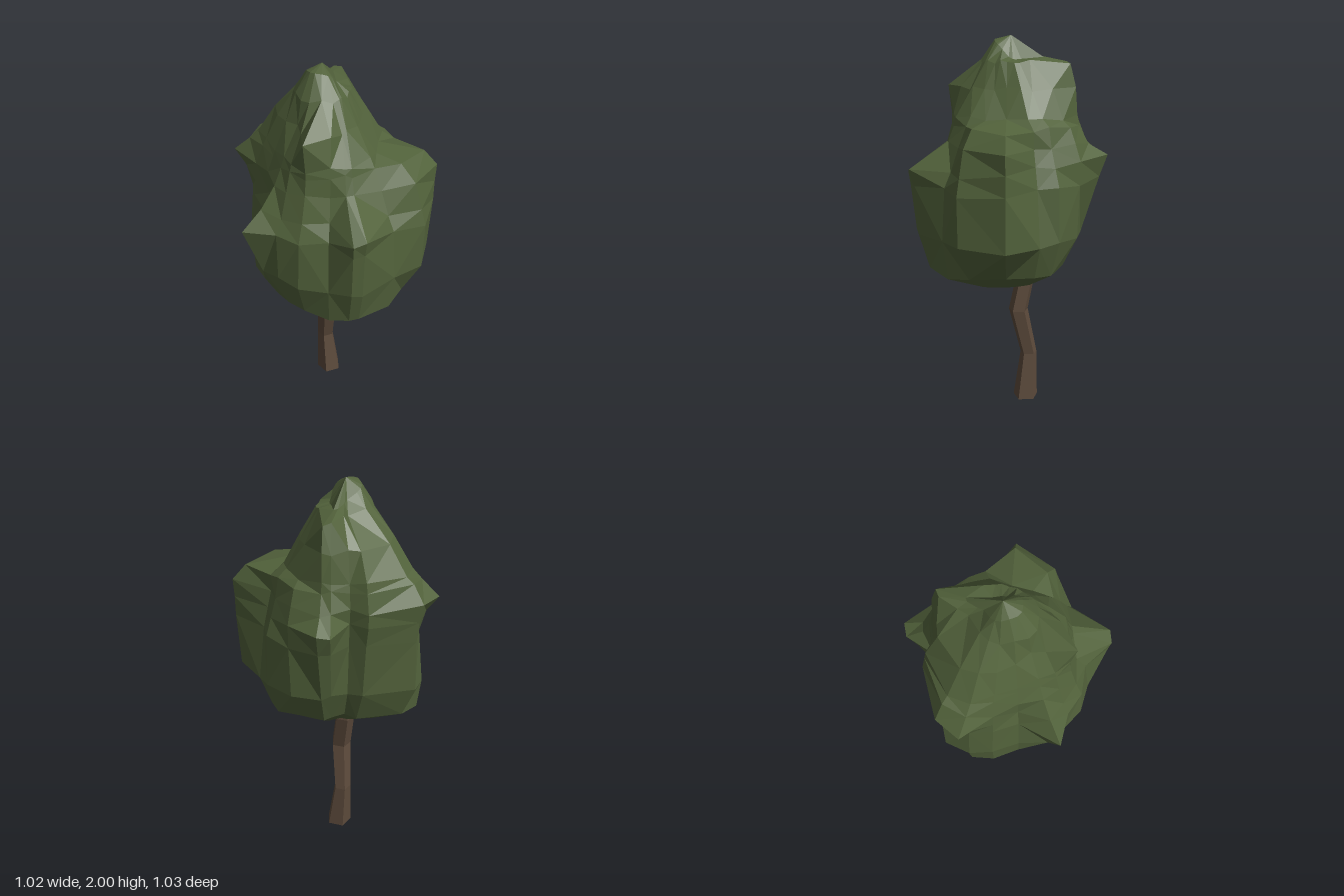
import * as THREE from 'three';

// Skin closed rings (bottom to top) with flat facets, splitting each quad along its shorter diagonal
function loft(rings, bottom, top) {
  const pos = [];
  const tri = (...pts) => pts.forEach((p) => pos.push(p.x, p.y, p.z));
  const n = rings[0].length;
  for (let k = 0; k < n; k++) {
    const m = (k + 1) % n;
    tri(bottom, rings[0][k], rings[0][m]);
    for (let i = 0; i < rings.length - 1; i++) {
      const a = rings[i][k], b = rings[i][m], c = rings[i + 1][k], d = rings[i + 1][m];
      if (a.distanceTo(d) < b.distanceTo(c)) { tri(a, c, d); tri(a, d, b); }
      else { tri(a, c, b); tri(b, c, d); }
    }
    const last = rings[rings.length - 1];
    tri(last[k], top, last[m]);
  }
  const geo = new THREE.BufferGeometry();
  geo.setAttribute('position', new THREE.Float32BufferAttribute(pos, 3));
  geo.computeVertexNormals();
  return geo;
}

// Point at an angle (from +x towards +z) around a centre
function polar(deg, r, y, cx = 0, cz = 0) {
  const a = THREE.MathUtils.degToRad(deg);
  return new THREE.Vector3(cx + r * Math.cos(a), y, cz + r * Math.sin(a));
}

// Directions of the ridges and hollows around the crown
const ANGLES = [2, 30, 50, 77, 84, 98, 118, 135, 150, 170, 188, 202, 217, 248, 258, 272, 279, 301, 323, 338];

// Crown cross-sections: height, slope towards the front, then the radius in each direction
const LOWER = [
  { y: 0.82, tilt: 0.04, r: [.33, .39, .40, .42, .42, .40, .38, .36, .36, .39, .44, .47, .44, .31, .27, .29, .31, .33, .36, .35] },
  { y: 1.00, tilt: 0, r: [.49, .49, .43, .47, .48, .43, .44, .43, .44, .40, .45, .49, .51, .38, .33, .37, .39, .41, .42, .41] },
  { y: 1.27, tilt: 0.03, r: [.505, .495, .41, .49, .505, .39, .42, .43, .54, .37, .42, .46, .50, .41, .35, .45, .48, .42, .41, .375] },
  { y: 1.365, tilt: 0.07, r: [.505, .47, .37, .515, .515, .34, .38, .39, .43, .34, .41, .49, .51, .43, .36, .50, .52, .42, .38, .35] },
];
const UPPER = [
  { y: 1.47, tilt: 0, r: [.51, .43, .32, .31, .31, .30, .34, .35, .35, .34, .40, .55, .53, .43, .37, .41, .42, .39, .35, .33] },
  { y: 1.56, tilt: 0, r: [.44, .35, .27, .28, .28, .29, .33, .32, .31, .31, .36, .46, .47, .41, .36, .37, .37, .36, .33, .33] },
  { y: 1.60, tilt: 0, r: [.21, .22, .24, .27, .27, .28, .33, .31, .29, .30, .34, .41, .43, .40, .35, .36, .36, .32, .28, .26] },
  { y: 1.74, tilt: 0, r: [.13, .13, .15, .18, .19, .24, .35, .24, .21, .24, .28, .31, .33, .33, .32, .34, .35, .26, .20, .17] },
  { y: 1.87, tilt: 0, r: [.07, .07, .08, .10, .11, .13, .15, .18, .19, .19, .20, .20, .19, .18, .22, .30, .32, .13, .10, .09] },
];

function crownGeometry() {
  const apex = new THREE.Vector3(-0.06, 2.0, -0.02);
  const base = new THREE.Vector3(-0.02, 0.675, 0.03);
  // Slight uneven heights keep the facets irregular
  const wobble = (i, k) => 0.01 * Math.sin(i * 4.7 + k * 2.3);
  const rings = [...LOWER, ...UPPER].map(({ y, tilt, r }, i) =>
    ANGLES.map((deg, k) => {
      const p = polar(deg, r[k], y + wobble(i, k));
      p.y -= tilt * p.z;
      return p;
    }));
  // Rounded underside
  const under = rings[0].map((p) => base.clone().lerp(p, 0.58).setY(0.73));
  const keel = rings[0].map((p) => base.clone().lerp(p, 0.25).setY(0.685));
  // Pointed top, with its shoulder raised on the front right
  const tip = rings[rings.length - 1].map((p, k) =>
    p.clone().lerp(apex, 0.45).setY(1.93 + 0.05 * Math.cos(THREE.MathUtils.degToRad(ANGLES[k] - 140))));
  return loft([keel, under, ...rings, tip], base, apex);
}

function trunkGeometry() {
  // Bent path: y, centre x, centre z, radius
  const path = [
    [0, -0.032, -0.105, 0.07],
    [0.26, -0.05, -0.122, 0.047],
    [0.52, -0.042, -0.063, 0.055],
    [0.72, -0.06, -0.105, 0.053],
    [0.85, -0.06, -0.10, 0.045],
  ];
  const rings = path.map(([y, x, z, r]) =>
    [0, 1, 2, 3, 4].map((k) => polar(k * 72 + 36, r, y, x, z)));
  const cap = ([y, x, z]) => new THREE.Vector3(x, y, z);
  return loft(rings, cap(path[0]), cap(path[path.length - 1]));
}

export function createModel() {
  const leafGreen = new THREE.MeshStandardMaterial({ color: 0x52623b });
  leafGreen.name = 'leaf green';
  const barkBrown = new THREE.MeshStandardMaterial({ color: 0x5c4a3b });
  barkBrown.name = 'bark brown';

  const tree = new THREE.Group();
  tree.name = 'tree';
  const crown = new THREE.Mesh(crownGeometry(), leafGreen);
  crown.name = 'crown';
  const trunk = new THREE.Mesh(trunkGeometry(), barkBrown);
  trunk.name = 'trunk';
  tree.add(trunk, crown);
  return tree;
}
